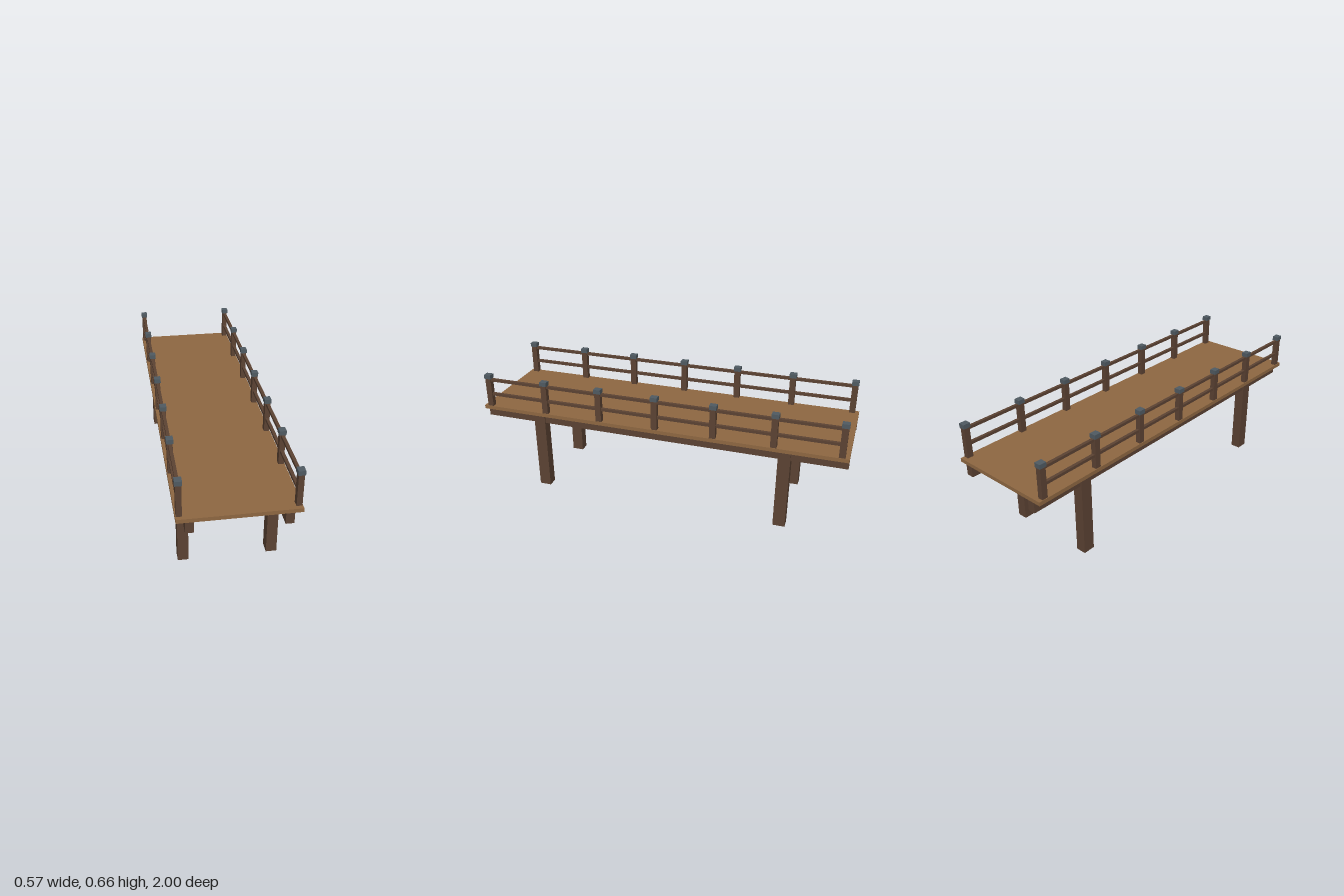
import * as THREE from 'three';

export function createModel() {
  const bridge = new THREE.Group();
  bridge.name = 'footbridge';

  const material = (name, color) => {
    const m = new THREE.MeshStandardMaterial({ color });
    m.name = name;
    return m;
  };
  const plankWood = material('plank wood', 0x8f6842);
  const darkTimber = material('dark timber', 0x5c4333);
  const slateMetal = material('slate metal', 0x505b62);

  // Box given by its centre in x and z and its bottom and top heights
  const box = (parent, name, mat, width, depth, x, z, bottom, top) => {
    const mesh = new THREE.Mesh(new THREE.BoxGeometry(width, top - bottom, depth), mat);
    mesh.name = name;
    mesh.position.set(x, (bottom + top) / 2, z);
    parent.add(mesh);
  };

  // Walkway
  box(bridge, 'deck', plankWood, 0.566, 2, 0, 0, 0.454, 0.474);

  const postZ = [-0.963, -0.627, -0.313, 0, 0.313, 0.627, 0.963];

  for (const [sideName, side] of [['left', 1], ['right', -1]]) {
    // Supports below the deck
    const supports = new THREE.Group();
    supports.name = `${sideName}Supports`;
    box(supports, 'stringer', darkTimber, 0.04, 1.998, side * 0.223, 0, 0.397, 0.454);
    for (const z of [-0.682, 0.682]) {
      box(supports, 'pile', darkTimber, 0.054, 0.064, side * 0.223, z, 0, 0.447);
    }

    // Railing with capped posts
    const railing = new THREE.Group();
    railing.name = `${sideName}Railing`;
    const x = side * 0.266;
    for (const z of postZ) {
      box(railing, 'post', darkTimber, 0.027, 0.032, x, z, 0.474, 0.635);
      box(railing, 'postCap', slateMetal, 0.034, 0.038, x, z, 0.635, 0.658);
    }
    box(railing, 'topRail', darkTimber, 0.016, 1.926, x, 0, 0.62, 0.635);
    box(railing, 'middleRail', darkTimber, 0.016, 1.926, x, 0, 0.536, 0.551);

    bridge.add(supports, railing);
  }

  return bridge;
}
